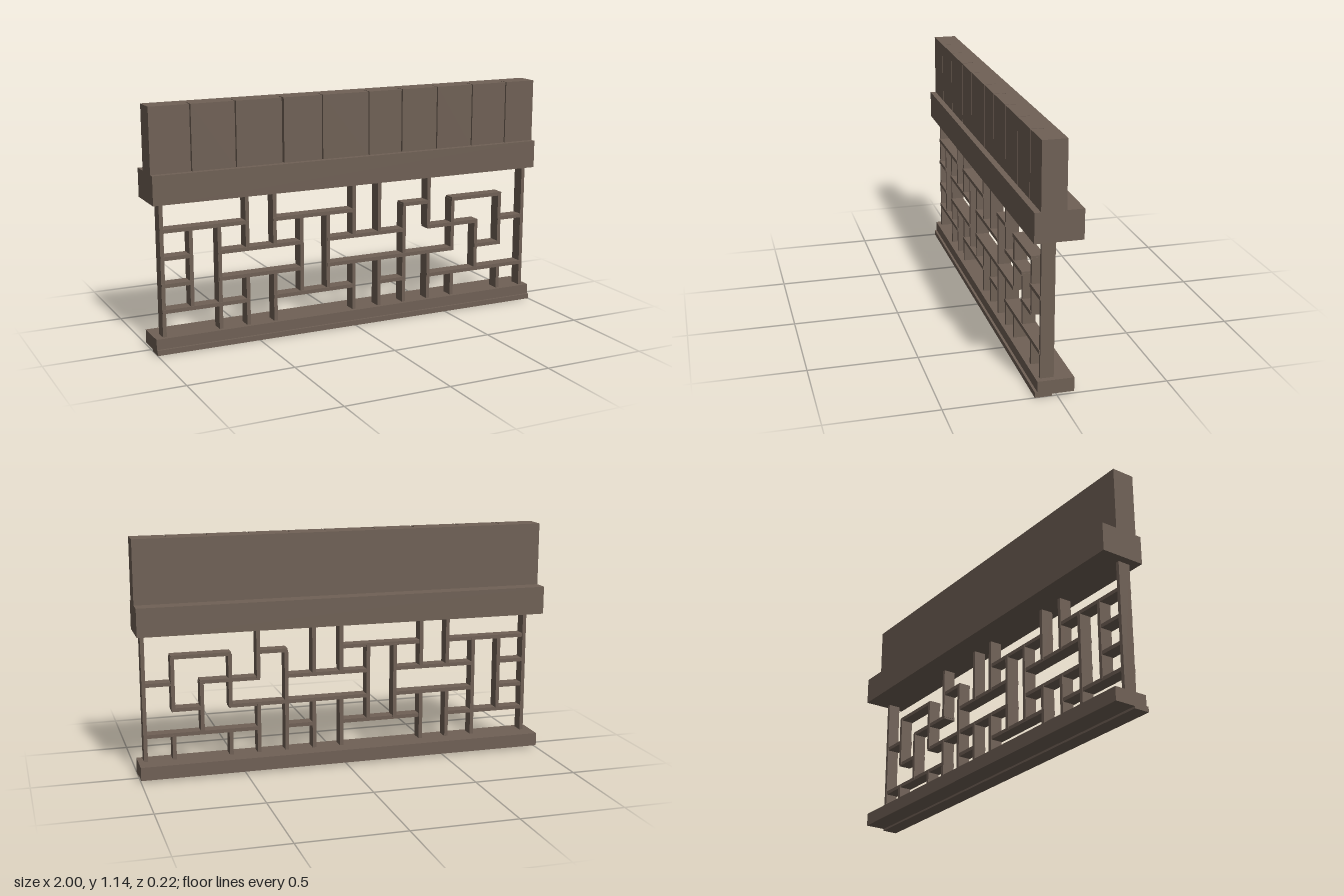
import * as THREE from 'three';

export function createModel() {
  const model = new THREE.Group();
  model.name = 'latticeRailing';
  const wood = new THREE.MeshStandardMaterial({ color: 0x6f6055 });
  wood.name = 'brown wood';

  // Box given by its limits on each axis
  function block(name, x0, x1, y0, y1, z0, z1, parent = model) {
    const mesh = new THREE.Mesh(new THREE.BoxGeometry(x1 - x0, y1 - y0, z1 - z0), wood);
    mesh.position.set((x0 + x1) / 2, (y0 + y1) / 2, (z0 + z1) / 2);
    mesh.name = name;
    parent.add(mesh);
  }

  // Base rail with a low lip under its front edge, and the heavy upper beam
  block('baseRail', -1, 1, 0.01, 0.074, -0.077, 0.087);
  block('baseLip', -1, 1, 0, 0.025, 0.023, 0.098);
  block('upperBeam', -1, 1, 0.698, 0.833, -0.107, 0.108);

  // Top panel: plan outline with narrow grooves between the boards
  const front = -0.08, grooveEnd = -0.025;
  const plan = new THREE.Shape();
  plan.moveTo(-1, front);
  for (const [x, w] of [[-0.808, 0.006], [-0.595, 0.006], [-0.364, 0.01], [-0.165, 0.006],
    [0.077, 0.006], [0.254, 0.006], [0.447, 0.006], [0.644, 0.006], [0.837, 0.006]]) {
    plan.lineTo(x - w / 2, front);
    plan.lineTo(x - w / 2, grooveEnd);
    plan.lineTo(x + w / 2, grooveEnd);
    plan.lineTo(x + w / 2, front);
  }
  plan.lineTo(1, front);
  plan.lineTo(1, 0.03);
  plan.lineTo(-1, 0.03);
  plan.closePath();
  const panelGeometry = new THREE.ExtrudeGeometry(plan, { depth: 0.304, bevelEnabled: false });
  panelGeometry.rotateX(-Math.PI / 2);
  const panel = new THREE.Mesh(panelGeometry, wood);
  panel.position.y = 0.832;
  panel.name = 'boardPanel';
  model.add(panel);

  // Lattice on a grid of 15 columns and 6 levels
  const lattice = new THREE.Group();
  lattice.name = 'lattice';
  model.add(lattice);
  const col = (i) => -0.954 + i * 0.137;
  const level = [0.07, 0.194, 0.315, 0.442, 0.569, 0.702];
  const half = 0.009;

  // Uprights: column, lower level, upper level
  const uprights = [
    [0, 0, 5], [1, 1, 4], [2, 0, 4], [3, 0, 2], [3, 3, 5], [4, 0, 2], [4, 3, 5],
    [5, 1, 4], [6, 1, 4], [7, 0, 2], [7, 3, 5], [8, 0, 2], [8, 3, 5], [9, 0, 4],
    [10, 0, 2], [10, 3, 5], [11, 0, 1], [11, 2, 4], [12, 1, 3], [13, 0, 1], [13, 2, 4], [14, 0, 5],
  ];
  for (const [c, a, b] of uprights) {
    block('upright', col(c) - half, col(c) + half, level[a], level[b], 0.007, 0.068, lattice);
  }

  // Crossbars: level, first column, last column
  const crossbars = [
    [4, 0, 3], [4, 4, 7], [4, 9, 10], [4, 11, 13],
    [3, 0, 1], [3, 2, 5], [3, 6, 9], [3, 10, 12], [3, 13, 14],
    [2, 0, 1], [2, 2, 5], [2, 6, 11], [2, 12, 13],
    [1, 0, 3], [1, 4, 7], [1, 8, 9], [1, 10, 14],
  ];
  for (const [l, a, b] of crossbars) {
    block('crossbar', col(a) - 0.007, col(b) + 0.007, level[l] - half, level[l] + half, 0.01, 0.072, lattice);
  }
  return model;
}
